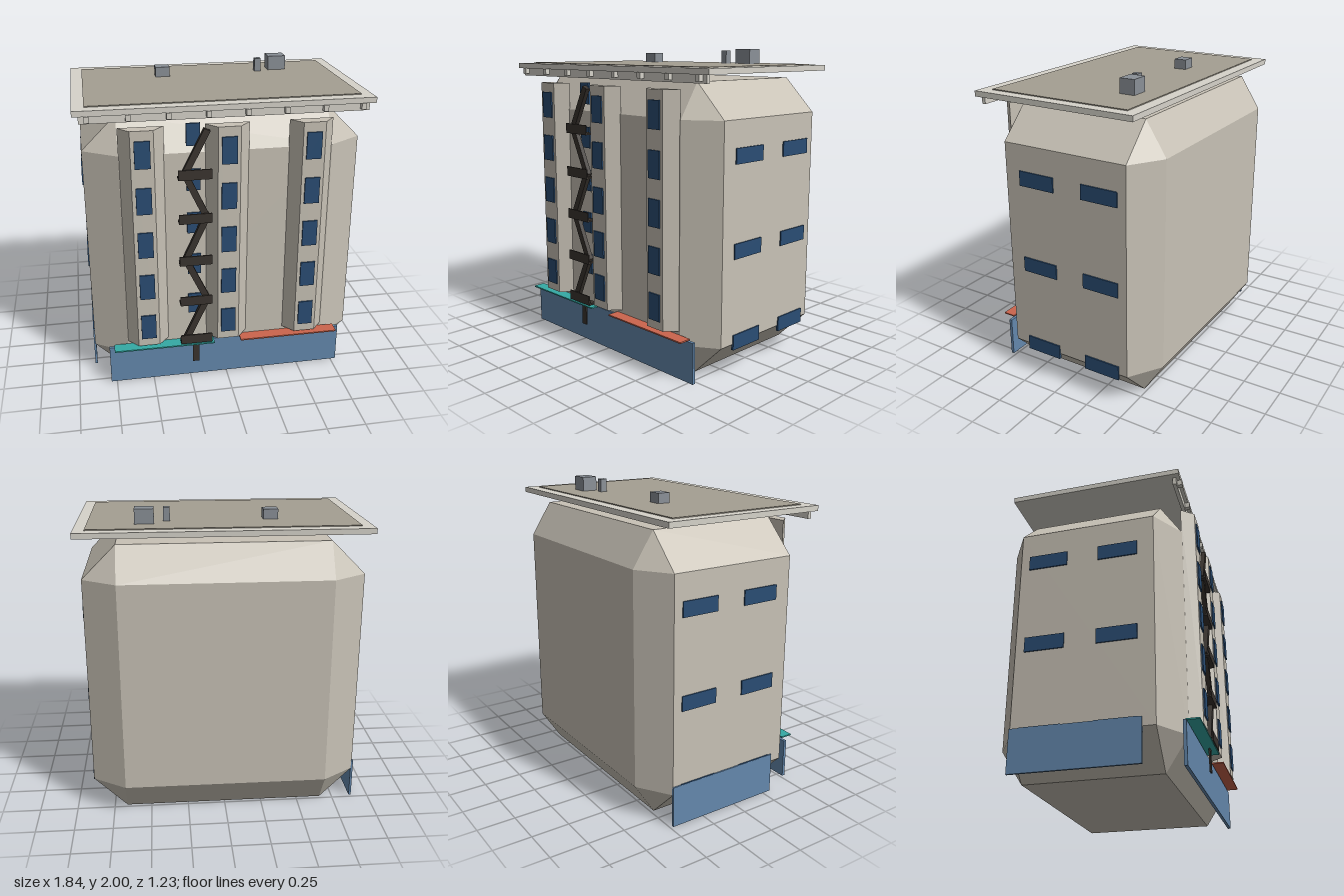
import * as THREE from 'three';
import { ConvexGeometry } from 'three/addons/geometries/ConvexGeometry.js';

const mat = (color) => new THREE.MeshStandardMaterial({ color });
const wall = mat(0xc8c2b6), trim = mat(0xd6d3ca), deck = mat(0xa59f92), glass = mat(0x2a4d74);
const panel = mat(0x6488ad), teal = mat(0x35aaa5), red = mat(0xcb654d), iron = mat(0x3a342f), unit = mat(0x8a9097);

export function createModel() {
  const root = new THREE.Group();
  root.name = 'apartmentBlock';

  const add = (name, geometry, material) => {
    const m = new THREE.Mesh(geometry, material);
    m.name = name;
    root.add(m);
    return m;
  };
  // Box given by its minimum and maximum along each axis
  const box = (name, material, x0, x1, y0, y1, z0, z1) => {
    const m = add(name, new THREE.BoxGeometry(x1 - x0, y1 - y0, z1 - z0), material);
    m.position.set((x0 + x1) / 2, (y0 + y1) / 2, (z0 + z1) / 2);
    return m;
  };

  // Main block with every edge chamfered: three points at each corner
  const half = new THREE.Vector3(0.88, 0.9075, 0.572);
  const cut = new THREE.Vector3(0.215, 0.215, 0.138);
  const corners = [];
  for (const sx of [-1, 1]) for (const sy of [-1, 1]) for (const sz of [-1, 1])
    for (const axis of ['x', 'y', 'z']) {
      const p = half.clone().sub(cut);
      p[axis] = half[axis];
      corners.push(p.multiply(new THREE.Vector3(sx, sy, sz)));
    }
  add('mainBlock', new ConvexGeometry(corners), wall).position.set(0, 0.9075, -0.043);

  // Three bays with slanted cheeks, each with a column of windows
  const bayShape = new THREE.Shape([
    new THREE.Vector2(-0.138, -0.525), new THREE.Vector2(-0.07, -0.605),
    new THREE.Vector2(0.07, -0.605), new THREE.Vector2(0.138, -0.525),
  ]);
  const bayGeometry = new THREE.ExtrudeGeometry(bayShape, { depth: 1.47, bevelEnabled: false });
  bayGeometry.rotateX(-Math.PI / 2);
  for (const x of [-0.527, -0.002, 0.523]) {
    add('bay', bayGeometry, wall).position.set(x, 0.305, 0);
    for (let i = 0; i < 5; i++) {
      const y = 0.447 + i * 0.295;
      box('bayWindow', glass, x - 0.048, x + 0.048, y - 0.086, y + 0.086, 0.597, 0.614);
    }
  }

  // Windows behind the stair
  for (let i = 0; i < 5; i++) {
    const y = 0.555 + i * 0.29;
    box('stairWindow', glass, -0.256, -0.17, y - 0.07, y + 0.07, 0.522, 0.538);
  }

  // Side windows
  for (const s of [-1, 1])
    for (const y of [0.225, 0.805, 1.385])
      for (const z of [0.16, -0.293]) {
        const m = box('sideWindow', glass, -0.008, 0.008, y - 0.048, y + 0.048, z - 0.126, z + 0.126);
        m.position.x = s * 0.88;
      }

  // Fire escape: landings with front rails, zigzag flights and a drop ladder
  const landings = [0.325, 0.615, 0.905, 1.195, 1.485];
  for (const y of landings) {
    box('landing', iron, -0.317, -0.11, y - 0.032, y - 0.02, 0.555, 0.615);
    box('landingRail', iron, -0.317, -0.11, y - 0.032, y + 0.032, 0.606, 0.615);
  }
  const stops = [...landings, 1.75].map((y, i) => new THREE.Vector2(i % 2 ? -0.14 : -0.275, y));
  for (let i = 0; i < stops.length - 1; i++) {
    const d = stops[i + 1].clone().sub(stops[i]);
    const flight = add('flight', new THREE.BoxGeometry(0.042, d.length() + 0.02, 0.03), iron);
    const mid = stops[i].clone().add(stops[i + 1]).multiplyScalar(0.5);
    flight.position.set(mid.x, mid.y, 0.583);
    flight.rotation.z = -Math.atan2(d.x, d.y);
  }
  box('dropLadder', iron, -0.235, -0.192, 0.125, 0.3, 0.568, 0.578);

  // Street level panels and awnings
  box('frontPanel', panel, -0.788, 0.786, 0, 0.266, 0.52, 0.54);
  box('sidePanel', panel, -0.889, -0.874, 0, 0.27, -0.48, 0.31);
  box('tealAwning', teal, -0.756, -0.092, 0.274, 0.283, 0.53, 0.612);
  box('redAwning', red, 0.086, 0.75, 0.274, 0.283, 0.53, 0.612);

  // Floating roof slab, deck, and front cornice with brackets
  box('roofSlab', trim, -0.92, 0.917, 1.865, 1.9, -0.545, 0.568);
  box('roofDeck', deck, -0.847, 0.845, 1.89, 1.906, -0.468, 0.49);
  box('corniceBeam', trim, -0.884, 0.882, 1.815, 1.865, 0.522, 0.546);
  for (let i = 0; i < 8; i++) {
    const x = -0.837 + i * 0.239;
    box('corniceBracket', trim, x - 0.015, x + 0.015, 1.828, 1.866, 0.536, 0.577);
  }

  // Rooftop units
  box('rooftopVent', unit, -0.36, -0.265, 1.9, 1.97, -0.235, -0.153);
  box('rooftopChimney', unit, 0.328, 0.37, 1.9, 1.992, -0.248, -0.203);
  box('rooftopHouse', unit, 0.428, 0.549, 1.9, 2.0, -0.33, -0.228);

  return root;
}
